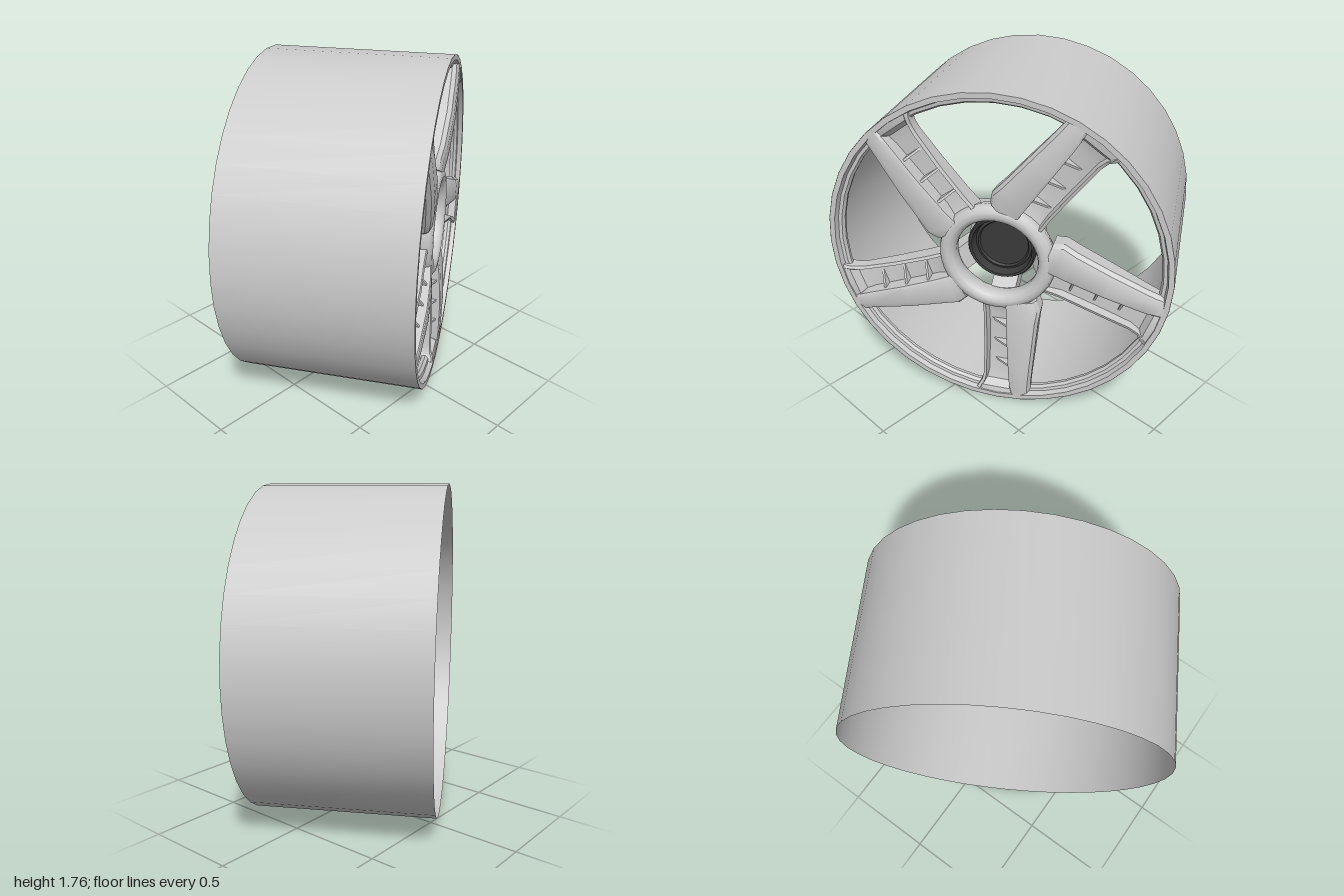
import * as THREE from 'three';
import { toCreasedNormals } from 'three/addons/utils/BufferGeometryUtils.js';

const grey = new THREE.MeshStandardMaterial({ color: 0xcccccc, side: THREE.DoubleSide });
const dark = new THREE.MeshStandardMaterial({ color: 0x3a3a3a, side: THREE.DoubleSide });

function part(name, geometry, material = grey, crease = 0.5) {
  const mesh = new THREE.Mesh(toCreasedNormals(geometry, crease), material);
  mesh.name = name;
  return mesh;
}

// Turned part: [radius, depth] profile around the wheel axis (local z)
function turned(name, profile, segments, material, crease) {
  const points = profile.map(([r, w]) => new THREE.Vector2(r, w));
  return part(name, new THREE.LatheGeometry(points, segments).rotateX(Math.PI / 2), material, crease);
}

function extruded(points, depth) {
  const shape = new THREE.Shape(points.map(([x, y]) => new THREE.Vector2(x, y)));
  return new THREE.ExtrudeGeometry(shape, { depth, bevelEnabled: false }).translate(0, 0, -depth / 2);
}

// Spoke cross-section in (sideways, outward): smooth ridge, stepped-down channel, thin lip
function spokeSection({ left, mid, right, top, floor, bottom }) {
  return [
    [right, bottom], [right + 0.005, top - 0.035], [right - 0.01, top - 0.012], [right - 0.04, top],
    [mid + 0.015, top], [mid + 0.004, top - 0.006], [mid, top - floor],
    [left + 0.022, top - floor], [left + 0.016, top - floor * 0.35 - 0.004],
    [left, top - floor * 0.35 - 0.01], [left, bottom],
  ];
}

const stations = [
  { s: 0.235, left: -0.07, mid: 0.045, right: 0.2, top: 0.45, floor: 0.02, bottom: 0.33 },
  { s: 0.29, left: -0.075, mid: 0.05, right: 0.225, top: 0.458, floor: 0.05, bottom: 0.34 },
  { s: 0.36, left: -0.07, mid: 0.053, right: 0.215, top: 0.468, floor: 0.075, bottom: 0.345 },
  { s: 0.55, left: -0.07, mid: 0.06, right: 0.2, top: 0.48, floor: 0.08, bottom: 0.365 },
  { s: 0.74, left: -0.075, mid: 0.067, right: 0.183, top: 0.478, floor: 0.07, bottom: 0.385 },
  { s: 0.79, left: -0.085, mid: 0.07, right: 0.18, top: 0.476, floor: 0.055, bottom: 0.39 },
  { s: 0.815, left: -0.1, mid: 0.075, right: 0.18, top: 0.474, floor: 0.012, bottom: 0.395 },
  { s: 0.85, left: -0.12, mid: 0.08, right: 0.175, top: 0.472, floor: 0.004, bottom: 0.4 },
];

function spokeGeometry() {
  const rings = stations.map(spokeSection);
  const n = rings[0].length;
  const positions = rings.flatMap((ring, i) => ring.flatMap(([q, w]) => [stations[i].s, q, w]));
  const index = [];
  for (let i = 0; i < rings.length - 1; i++) {
    for (let j = 0; j < n; j++) {
      const a = i * n + j, b = i * n + (j + 1) % n;
      index.push(a, b, a + n, b, b + n, a + n);
    }
  }
  // End caps
  const last = (rings.length - 1) * n;
  const cap = (ring) => THREE.ShapeUtils.triangulateShape(ring.map(([q, w]) => new THREE.Vector2(q, w)), []);
  cap(rings[0]).forEach(([a, b, c]) => index.push(a, c, b));
  cap(rings[rings.length - 1]).forEach(([a, b, c]) => index.push(last + a, last + b, last + c));
  const geometry = new THREE.BufferGeometry();
  geometry.setAttribute('position', new THREE.Float32BufferAttribute(positions, 3));
  geometry.setIndex(index);
  geometry.computeVertexNormals();
  return geometry;
}

// One spoke pointing along local x, with channel ribs and a strut down to the hub
function makeSpoke() {
  const spoke = new THREE.Group();
  spoke.name = 'spoke';
  spoke.add(part('spokeBody', spokeGeometry()));

  const alongSpoke = new THREE.Matrix4().makeBasis(
    new THREE.Vector3(0, 1, 0), new THREE.Vector3(0, 0, 1), new THREE.Vector3(1, 0, 0));
  for (const s of [0.4, 0.53, 0.66]) {
    const rib = extruded([[-0.045, 0.39], [0.065, 0.39], [0.065, 0.455]], 0.012);
    rib.applyMatrix4(alongSpoke).translate(s, 0, 0);
    spoke.add(part('channelRib', rib));
  }

  const strut = extruded([[0.15, 0.14], [0.22, 0.2], [0.31, 0.35], [0.28, 0.4], [0.23, 0.38], [0.17, 0.27]], 0.13);
  spoke.add(part('hubStrut', strut.rotateX(Math.PI / 2).translate(0, 0.015, 0)));
  return spoke;
}

export function createModel() {
  const wheel = new THREE.Group();
  wheel.name = 'wheel';

  // Thin open barrel and the stepped lip around the face
  wheel.add(turned('barrel', [[0.878, -0.4725], [0.878, 0.4725]], 40));
  wheel.add(turned('rimLip', [
    [0.876, 0.405], [0.877, 0.4725], [0.85, 0.4725], [0.842, 0.445], [0.825, 0.442],
    [0.815, 0.425], [0.818, 0.405], [0.876, 0.405],
  ], 40));

  // Rounded centre ring the spokes run into
  wheel.add(turned('centreRing', [
    [0.23, 0.345], [0.285, 0.36], [0.3, 0.41], [0.29, 0.44], [0.27, 0.455], [0.245, 0.458],
    [0.222, 0.445], [0.212, 0.42], [0.215, 0.375], [0.23, 0.345],
  ], 40, grey, 0.9));

  // Hub seat and the dark recessed cap
  wheel.add(turned('hubSeat', [[0, 0.12], [0.19, 0.12], [0.195, 0.24], [0.17, 0.26]], 32));
  wheel.add(turned('hubCap', [
    [0.175, 0.22], [0.18, 0.32], [0.172, 0.333], [0.16, 0.33], [0.148, 0.285],
    [0.135, 0.29], [0.128, 0.278], [0, 0.278],
  ], 32, dark));

  for (let i = 0; i < 5; i++) {
    const spoke = makeSpoke();
    spoke.rotation.z = -Math.PI / 2 + i * Math.PI * 2 / 5;
    wheel.add(spoke);
  }

  // Stand the wheel on the ground with its face turned right and backward
  wheel.rotation.y = Math.PI * 2 / 3;
  wheel.position.y = 0.88;
  const model = new THREE.Group();
  model.name = 'wheelRim';
  model.add(wheel);
  return model;
}
